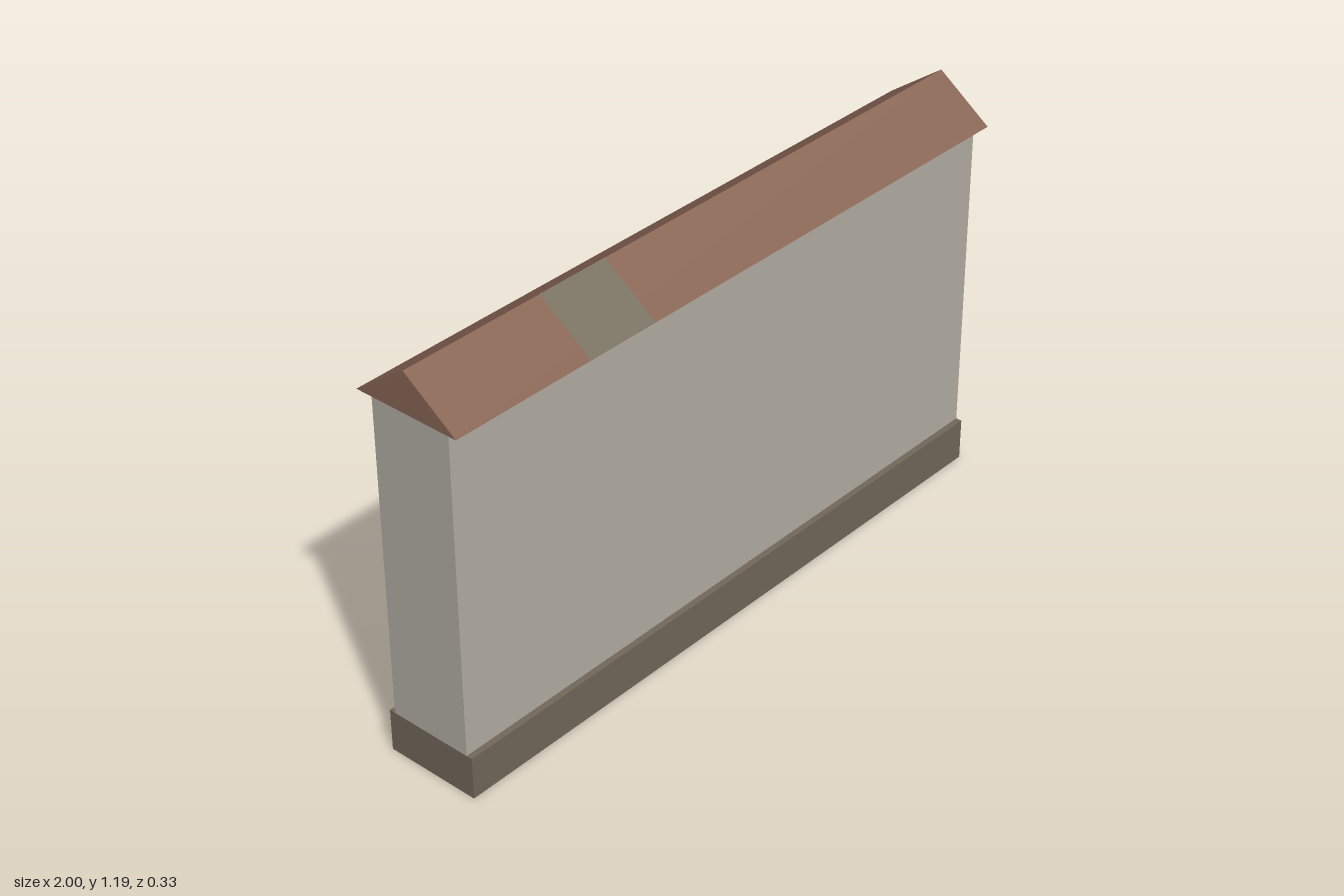
import * as THREE from 'three';

const material = (name, color, extra = {}) => {
  const m = new THREE.MeshStandardMaterial({ color, ...extra });
  m.name = name;
  return m;
};

export function createModel() {
  const group = new THREE.Group();
  group.name = 'roofedWall';

  const plaster = material('plaster', 0xb3aea4);
  const stone = material('stone', 0x73685a, { side: THREE.DoubleSide });
  const tile = material('roofTile', 0x876554);
  const moss = material('mossyTile', 0x776f5e);

  const add = (name, geometry, mat, x = 0, y = 0, z = 0) => {
    const mesh = new THREE.Mesh(geometry, mat);
    mesh.name = name;
    mesh.position.set(x, y, z);
    group.add(mesh);
    return mesh;
  };

  const baseTop = 0.125, eaves = 1.07, ridge = 1.187, overhang = 0.162;

  // Plinth: a hollow box, open underneath
  const plinth = new THREE.BoxGeometry(1.976, baseTop, 0.286);
  const faces = Array.from(plinth.index.array);
  faces.splice(18, 6); // drop the bottom face
  plinth.setIndex(faces);
  plinth.clearGroups();
  add('plinth', plinth, stone, 0, baseTop / 2);

  // Wall body
  add('wall', new THREE.BoxGeometry(1.976, eaves - baseTop, 0.25), plaster, 0, (eaves + baseTop) / 2);

  // Gabled coping along the top
  const gable = new THREE.Shape([
    new THREE.Vector2(-overhang, eaves),
    new THREE.Vector2(overhang, eaves),
    new THREE.Vector2(0, ridge),
  ]);
  const roof = new THREE.ExtrudeGeometry(gable, { depth: 2, bevelEnabled: false });
  roof.translate(0, 0, -1).rotateY(Math.PI / 2);
  add('roof', roof, tile);

  // Mossy patch lying on the front slope
  const rise = ridge - eaves;
  const tilt = Math.atan2(overhang, rise);
  const patch = add('roofPatch', new THREE.PlaneGeometry(0.226, Math.hypot(overhang, rise)), moss,
    -0.445, (eaves + ridge) / 2 + 0.002 * Math.sin(tilt), overhang / 2 + 0.002 * Math.cos(tilt));
  patch.rotation.x = -tilt;

  return group;
}
